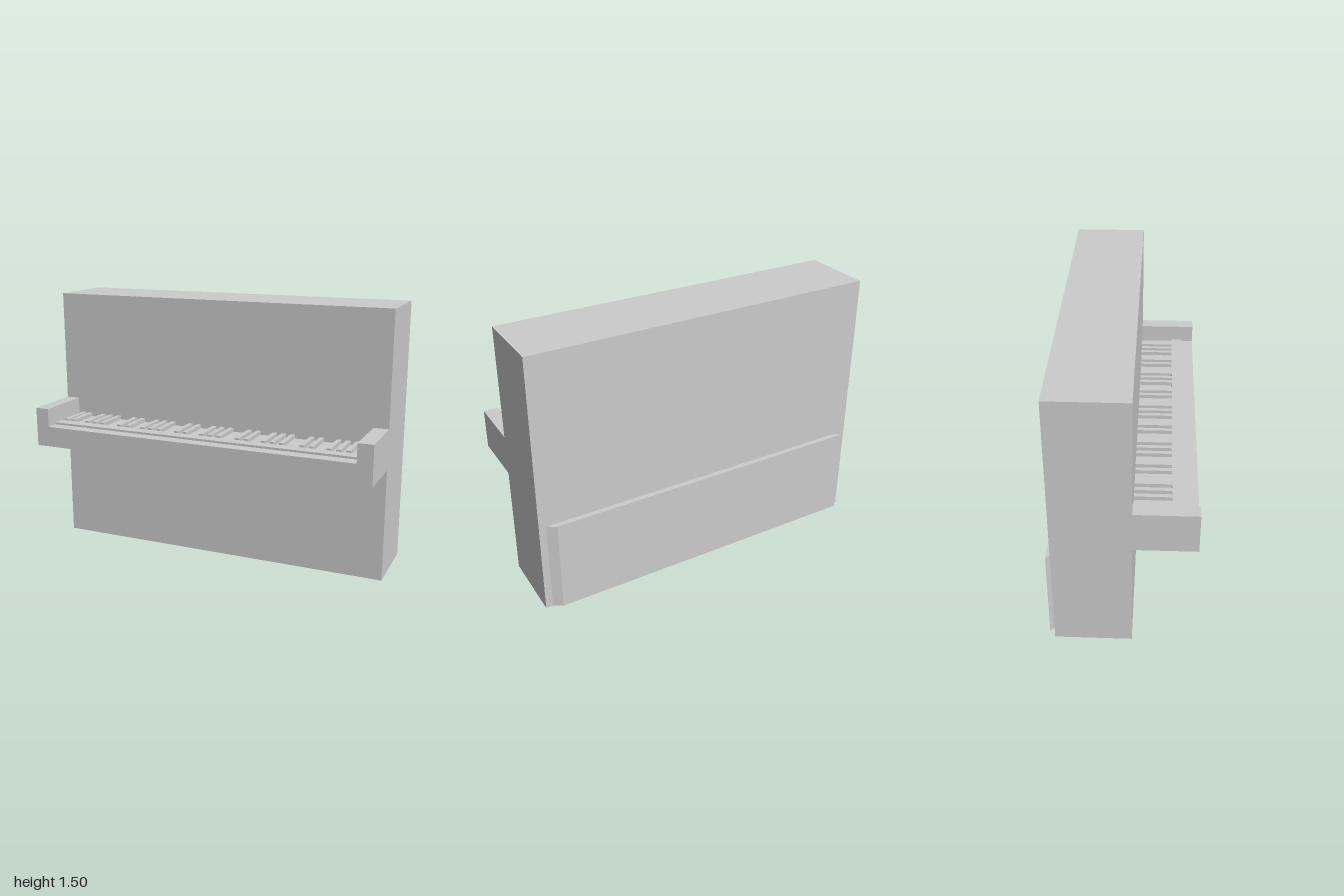
import * as THREE from 'three';

const material = new THREE.MeshStandardMaterial({ color: 0xcccccc, flatShading: true });

// Box given by its minimum and maximum corners
function box(parent, name, [x0, y0, z0], [x1, y1, z1]) {
  const mesh = new THREE.Mesh(new THREE.BoxGeometry(x1 - x0, y1 - y0, z1 - z0), material);
  mesh.position.set((x0 + x1) / 2, (y0 + y1) / 2, (z0 + z1) / 2);
  mesh.name = name;
  parent.add(mesh);
}

export function createModel() {
  const model = new THREE.Group();
  model.name = 'uprightPiano';

  const front = 0.385, bodyFront = 0.055, bodyBack = -0.355;
  const left = 0.915, right = -0.92; // inner faces of the cheeks

  // Tall case
  box(model, 'case', [-1, 0, bodyBack], [1, 1.5, bodyFront]);

  // Keybed with a cheek at each end
  box(model, 'keybed', [right, 0.64, bodyFront], [left, 0.758, front]);
  box(model, 'rightCheek', [-1, 0.64, bodyFront], [right, 0.865, front]);
  box(model, 'leftCheek', [left, 0.64, bodyFront], [1, 0.865, front]);

  // Raised front part of the white keys
  box(model, 'whiteKeyFronts', [right, 0.75, 0.25], [left, 0.77, 0.315]);

  // Black keys in groups of two and three per octave
  const blackKeys = new THREE.Group();
  blackKeys.name = 'blackKeys';
  model.add(blackKeys);
  const octave = 0.369;
  const centres = [-0.883, -0.838];
  for (let i = 0; i < 5; i++) {
    for (const x of [-0.745, -0.693, -0.64]) centres.push(x + i * octave);
    if (i < 4) for (const x of [-0.527, -0.474]) centres.push(x + i * octave);
  }
  for (const x of centres) {
    box(blackKeys, 'blackKey', [x - 0.0125, 0.75, bodyFront], [x + 0.0125, 0.78, 0.25]);
  }

  // Lower back panel with slanted ends
  const outline = new THREE.Shape([
    new THREE.Vector2(-0.92, -bodyBack),
    new THREE.Vector2(0.96, -bodyBack),
    new THREE.Vector2(0.91, 0.385),
    new THREE.Vector2(-0.965, 0.385),
  ]);
  const panel = new THREE.Mesh(
    new THREE.ExtrudeGeometry(outline, { depth: 0.53, bevelEnabled: false }), material);
  panel.rotation.x = -Math.PI / 2;
  panel.name = 'backPanel';
  model.add(panel);

  return model;
}
